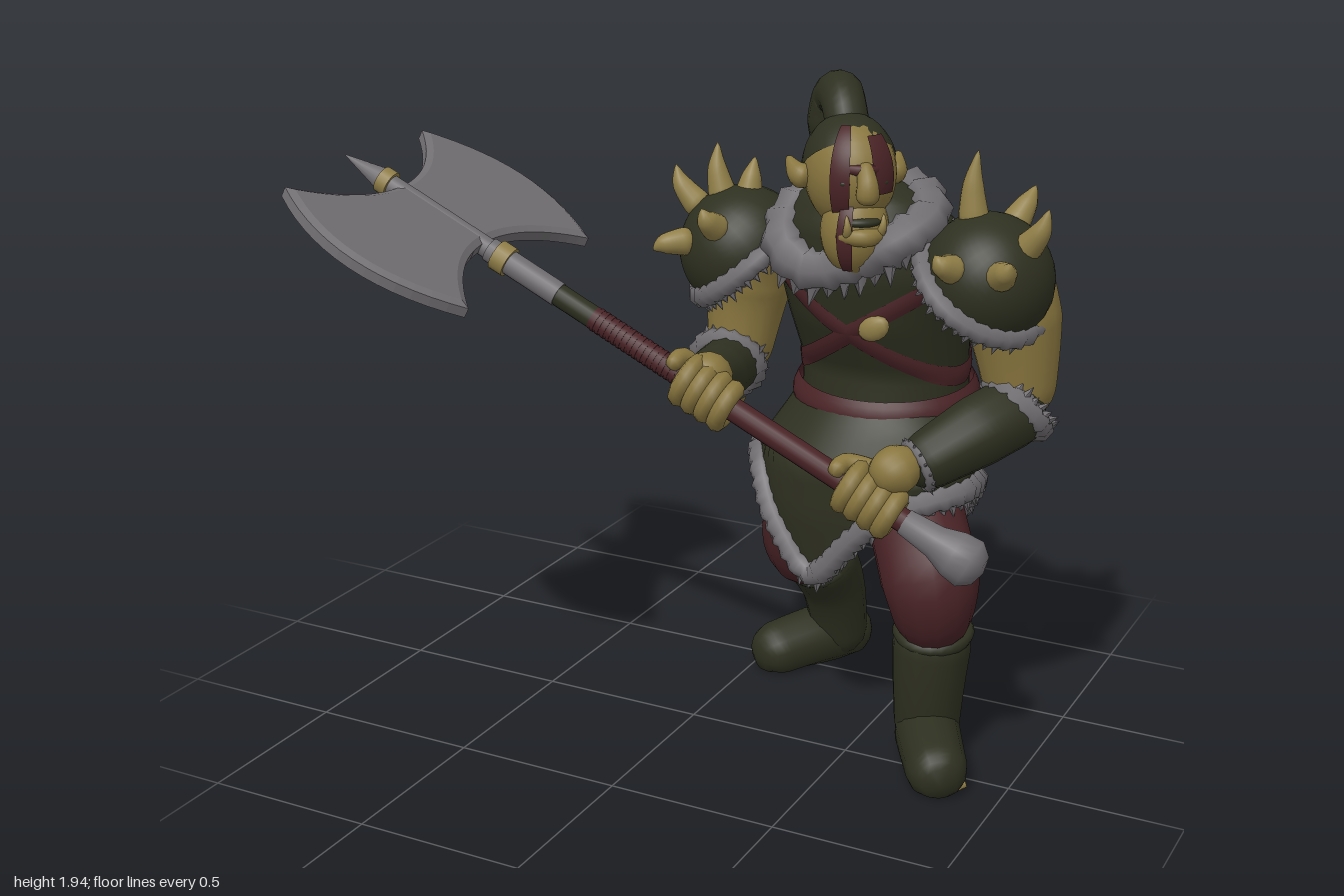
import * as THREE from 'three';
import { mergeGeometries, mergeVertices } from 'three/addons/utils/BufferGeometryUtils.js';

const V = (x, y, z) => new THREE.Vector3(x, y, z);
const UP = V(0, 1, 0);
const material = (name, color, side = THREE.FrontSide) => {
  const m = new THREE.MeshStandardMaterial({ color, side });
  m.name = name;
  return m;
};

export function createModel() {
  const model = new THREE.Group();
  const green = material('dark green leather', 0x2e3020, THREE.DoubleSide);
  const red = material('maroon cloth', 0x4a2326, THREE.DoubleSide);
  const skin = material('ochre skin', 0x89763f);
  const horn = material('horn', 0x917f48);
  const grey = material('grey steel and fur', 0x716e71);

  const add = (name, geometry, mat, parent = model) => {
    const mesh = new THREE.Mesh(geometry, mat);
    mesh.name = name;
    parent.add(mesh);
    return mesh;
  };

  // Round limb of varying radius along a curve, with rounded ends, flat on the ground
  const limb = (name, pts, radii, mat, parent = model, n = 28) => {
    const curve = new THREE.CatmullRomCurve3(pts.map(p => V(...p)));
    const len = curve.getLength(), seg = 14;
    const g = new THREE.TubeGeometry(curve, n, 1, seg);
    const pos = g.attributes.position, v = V(0, 0, 0);
    for (let i = 0; i <= n; i++) {
      const t = i / n, c = curve.getPointAt(t);
      const f = curve.getUtoTmapping(t) * (radii.length - 1);
      const k = Math.min(Math.floor(f), radii.length - 2);
      let r = THREE.MathUtils.lerp(radii[k], radii[k + 1], f - k);
      const d = Math.min(t, 1 - t) * len;
      if (d < r) r *= Math.sqrt(Math.max(0, 1 - (1 - d / r) ** 2));
      for (let j = 0; j <= seg; j++) {
        const q = i * (seg + 1) + j;
        v.fromBufferAttribute(pos, q).sub(c).multiplyScalar(r).add(c);
        pos.setXYZ(q, v.x, parent === model ? Math.max(0, v.y) : v.y, v.z);
      }
    }
    g.deleteAttribute('uv');
    g.deleteAttribute('normal');
    const merged = mergeVertices(g, 1e-5);
    merged.computeVertexNormals();
    return add(name, merged, mat, parent);
  };

  // Closed band from a rule: u runs around, v runs up
  const loft = (nu, nv, fn) => {
    const p = [], idx = [];
    for (let j = 0; j <= nv; j++) for (let i = 0; i < nu; i++) p.push(...fn(i / nu, j / nv).toArray());
    for (let j = 0; j < nv; j++) for (let i = 0; i < nu; i++) {
      const a = j * nu + i, b = j * nu + (i + 1) % nu;
      idx.push(a, b, a + nu, b, b + nu, a + nu);
    }
    const g = new THREE.BufferGeometry();
    g.setAttribute('position', new THREE.Float32BufferAttribute(p, 3));
    g.setIndex(idx);
    g.computeVertexNormals();
    return g;
  };

  // Lumpy fur roll with pointed tufts
  const fur = (name, pts, r, dirAt, n) => {
    const curve = new THREE.CatmullRomCurve3(pts, true);
    const tube = new THREE.TubeGeometry(curve, n * 2, r, 7, true);
    const pos = tube.attributes.position, nor = tube.attributes.normal;
    for (let i = 0; i < pos.count; i++) {
      const k = r * 0.15 * Math.sin(Math.floor(i / 8) % (n * 2) * 2.3);
      pos.setXYZ(i, pos.getX(i) + nor.getX(i) * k, pos.getY(i) + nor.getY(i) * k, pos.getZ(i) + nor.getZ(i) * k);
    }
    const parts = [tube];
    for (let i = 0; i < n; i++) {
      const p = curve.getPointAt(i / n), d = dirAt(p.clone()).normalize();
      const cone = new THREE.ConeGeometry(r * 0.6, r * (1.3 + 0.4 * Math.sin(i * 2.7)), 5);
      cone.applyQuaternion(new THREE.Quaternion().setFromUnitVectors(UP, d));
      p.addScaledVector(d, r * 0.95);
      parts.push(cone.translate(p.x, p.y, p.z));
    }
    return add(name, mergeGeometries(parts), grey);
  };
  const circle = (c, axis, r) => {
    const q = new THREE.Quaternion().setFromUnitVectors(UP, axis.clone().normalize());
    return Array.from({ length: 12 }, (_, i) =>
      V(Math.cos(i * Math.PI / 6) * r, 0, Math.sin(i * Math.PI / 6) * r).applyQuaternion(q).add(c));
  };

  // Oval body section at a height: rows are [y, centre x, centre z, half width, half depth]
  const section = (rows, y, a, grow = 0) => {
    let k = 0;
    while (k < rows.length - 2 && y > rows[k + 1][0]) k++;
    const t = THREE.MathUtils.clamp((y - rows[k][0]) / (rows[k + 1][0] - rows[k][0]), 0, 1);
    const [, cx, cz, rx, rz] = rows[k].map((s, i) => THREE.MathUtils.lerp(s, rows[k + 1][i], t));
    return V(cx + Math.sin(a) * (rx + grow), y, cz + Math.cos(a) * (rz + grow));
  };
  const torsoRows = [[0.95, 0.45, -0.36, 0.25, 0.22], [1.1, 0.45, -0.35, 0.245, 0.2], [1.25, 0.44, -0.32, 0.265, 0.24],
    [1.4, 0.44, -0.28, 0.29, 0.235], [1.53, 0.43, -0.24, 0.26, 0.2], [1.62, 0.43, -0.21, 0.18, 0.14], [1.66, 0.43, -0.2, 0.08, 0.07]];
  const skirtRows = [[0.42, 0.41, -0.25, 0.2, 0.18], [0.55, 0.41, -0.28, 0.25, 0.25], [0.7, 0.41, -0.3, 0.31, 0.29],
    [0.85, 0.43, -0.31, 0.33, 0.305], [0.95, 0.44, -0.345, 0.28, 0.255], [1.02, 0.45, -0.36, 0.25, 0.22]];
  const TAU = Math.PI * 2;

  // Torso, belt and crossed straps
  add('torso', loft(40, 28, (u, v) => section(torsoRows, 0.95 + v * 0.71, u * TAU)), green);
  add('belt', loft(40, 6, (u, v) => {
    const a = u * TAU, p = section(torsoRows, 1.01, a, 0.01 + 0.02 * Math.sin(v * Math.PI));
    p.y = 1.01 - 0.03 * Math.cos(a) + (v - 0.5) * 0.1;
    return p;
  }), red);
  for (const s of [1, -1]) add('chestStrap', loft(64, 4, (u, v) => {
    const a = u * TAU;
    return section(torsoRows, 1.265 - 0.03 * Math.cos(a) - s * 0.17 * Math.sin(a) + (v - 0.5) * 0.06, a, 0.003 + 0.006 * Math.sin(v * Math.PI));
  }), red);
  const pendant = add('pendant', new THREE.SphereGeometry(0.045, 10, 8), horn);
  pendant.scale.set(1.1, 0.8, 0.5);
  pendant.rotation.z = 0.5;
  pendant.position.set(0.52, 1.265, -0.078);

  // Skirt pushed out over the left thigh, hanging low at front and back, with a fur hem
  const hem = angle => {
    const a = angle + 0.2 * Math.max(0, Math.cos(angle)) + 0.3 * Math.max(0, -Math.cos(angle));
    const low = (1 + Math.cos(2 * (a + 0.3 * Math.sin(a)))) / 2;
    return 0.79 - 0.31 * low ** 1.4 + 0.03 * Math.cos(a);
  };
  const skirtPoint = (y, a) =>
    section(skirtRows, y, a, 0.085 * Math.exp(-(((a - 0.9) / 0.45) ** 2)) * THREE.MathUtils.clamp((1.02 - y) / 0.15, 0, 1));
  add('skirt', loft(56, 16, (u, v) => skirtPoint(THREE.MathUtils.lerp(hem(u * TAU), 1.02, v), u * TAU)), green);
  fur('skirtFurHem', Array.from({ length: 36 }, (_, i) => skirtPoint(hem(i / 36 * TAU) + 0.01, i / 36 * TAU)),
    0.037, p => V((p.x - 0.42) * 0.6, -0.8, (p.z + 0.28) * 0.6), 76);

  // Legs and boots
  limb('leftThigh', [[0.54, 0.88, -0.32], [0.63, 0.72, -0.16], [0.73, 0.565, -0.035], [0.73, 0.36, -0.08]], [0.1, 0.14, 0.14, 0.09], red);
  limb('rightThigh', [[0.33, 0.93, -0.38], [0.24, 0.66, -0.35], [0.195, 0.49, -0.36], [0.21, 0.34, -0.42]], [0.15, 0.155, 0.128, 0.09], red);
  limb('leftBoot', [[0.73, 0.46, -0.08], [0.72, 0.25, -0.08], [0.71, 0.02, -0.1]], [0.12, 0.105, 0.09], green);
  limb('rightBoot', [[0.215, 0.47, -0.38], [0.225, 0.28, -0.52], [0.22, 0.02, -0.61]], [0.12, 0.1, 0.085], green);
  limb('leftFoot', [[0.67, 0.06, -0.2], [0.73, 0.085, -0.06], [0.86, 0.05, 0.17]], [0.09, 0.095, 0.085], green);
  limb('rightFoot', [[0.25, 0.06, -0.72], [0.19, 0.085, -0.58], [0.03, 0.05, -0.36]], [0.09, 0.095, 0.085], green);
  const toe = add('toePatch', new THREE.SphereGeometry(1, 12, 8), horn);
  toe.position.set(0.82, 0.018, 0.075);
  toe.scale.set(0.083, 0.018, 0.045);
  const cuff = (c, axis, r) => {
    const m = add('bootCuff', new THREE.TorusGeometry(r, 0.022, 8, 24), green);
    m.position.copy(c);
    m.quaternion.setFromUnitVectors(V(0, 0, 1), axis.normalize());
  };
  cuff(V(0.728, 0.4, -0.08), V(0.05, 1, 0.2), 0.095);
  cuff(V(0.215, 0.4, -0.43), V(0, 0.8, 0.6), 0.09);

  // Arms with bracers and fur cuffs
  limb('leftUpperArm', [[0.8, 1.53, -0.24], [0.86, 1.29, -0.26], [0.9, 1.0, -0.26]], [0.13, 0.135, 0.085], skin);
  limb('rightUpperArm', [[0.08, 1.53, -0.28], [0.02, 1.29, -0.32], [0, 1.0, -0.28]], [0.13, 0.13, 0.085], skin);
  limb('leftBracer', [[0.93, 1.06, -0.29], [0.82, 1.0, -0.11], [0.67, 0.9, 0.04]], [0.1, 0.1, 0.075], green);
  limb('rightBracer', [[0, 1.06, -0.31], [0.03, 1.06, -0.1], [0.09, 1.09, 0.1]], [0.09, 0.088, 0.06], green);
  const elbows = [['leftElbowFur', V(0.89, 1.045, -0.23), V(0.45, 0.65, -0.6)], ['rightElbowFur', V(-0.005, 1.055, -0.23), V(-0.1, 0.4, -0.9)]];
  for (const [name, c, axis] of elbows)
    fur(name, circle(c, axis, 0.085), 0.036, p => p.sub(c).addScaledVector(axis, 0.12), 24);
  const wristCentre = V(0.7, 0.92, 0.01);
  fur('leftWristFur', circle(wristCentre, V(-0.7, -0.4, 0.7), 0.065), 0.015, p => p.sub(wristCentre), 16);

  // Shoulder pads with fur rims and curved spikes
  const shoulders = [
    ['left', V(0.805, 1.415, -0.18), V(0.58, 0.76, 0.28), [[0.76, 1.57, -0.17, 0.77, 1.77, -0.17], [0.85, 1.56, -0.25, 0.89, 1.66, -0.31],
      [0.92, 1.51, -0.14, 0.99, 1.64, -0.12], [0.77, 1.47, -0.02, 0.73, 1.52, 0.03], [0.89, 1.46, -0.04, 0.94, 1.52, 0.03]]],
    ['right', V(0.06, 1.415, -0.2), V(-0.58, 0.76, 0.28), [[0.0, 1.56, -0.18, -0.02, 1.72, -0.19], [0.07, 1.56, -0.2, 0.08, 1.68, -0.23],
      [-0.07, 1.53, -0.17, -0.14, 1.65, -0.16], [-0.05, 1.46, -0.06, -0.13, 1.43, 0.0], [0.05, 1.5, -0.05, 0.03, 1.57, 0.01]]]];
  for (const [side, c, axis, spikes] of shoulders) {
    const pad = add(side + 'ShoulderPad', new THREE.SphereGeometry(0.186, 28, 16, 0, TAU, 0, Math.PI * 0.56), green);
    pad.position.copy(c);
    pad.quaternion.setFromUnitVectors(UP, axis.normalize());
    const rim = c.clone().addScaledVector(axis, -0.02);
    fur(side + 'ShoulderFur', circle(rim, axis, 0.182), 0.033, p => p.sub(rim).normalize().multiplyScalar(0.4).addScaledVector(axis, -1.2), 40);
    for (const [x, y, z, X, Y, Z] of spikes) {
      const out = V(x, y, z).sub(c).multiplyScalar(0.13);
      limb(side + 'ShoulderSpike', [[x - out.x, y - out.y, z - out.z], [(x + X) / 2 + out.x, (y + Y) / 2 + out.y * 0.4, (z + Z) / 2 + out.z], [X, Y, Z]],
        [0.048, 0.028, 0.003], horn, model, 14);
    }
  }

  // Neck and fur collar
  limb('neck', [[0.43, 1.45, -0.22], [0.43, 1.55, -0.17], [0.44, 1.68, -0.1]], [0.11, 0.11, 0.1], skin);
  fur('furCollar', [V(0.44, 1.44, -0.07), V(0.57, 1.51, -0.07), V(0.635, 1.57, -0.16), V(0.57, 1.61, -0.26), V(0.44, 1.62, -0.3),
    V(0.3, 1.61, -0.26), V(0.23, 1.55, -0.17), V(0.25, 1.47, -0.07), V(0.33, 1.42, -0.06)], 0.062, p => V(p.x - 0.43, -0.6, p.z + 0.2), 26);

  // Head, turned toward its left
  const head = new THREE.Group();
  head.name = 'head';
  head.position.set(0.43, 1.64, -0.1);
  head.rotation.y = 0.7;
  model.add(head);
  const ball = (name, p, s, mat, ...arc) => {
    const m = add(name, new THREE.SphereGeometry(1, 24, 18, ...arc), mat, head);
    m.position.set(...p);
    m.scale.set(...s);
    return m;
  };
  const skull = [[0, 0.05, 0], [0.125, 0.155, 0.145]], jaw = [[0, -0.1, 0.055], [0.095, 0.12, 0.095]];
  ball('skull', ...skull, skin);
  ball('jaw', ...jaw, skin);
  ball('hairCap', [0, 0.053, -0.006], [0.131, 0.162, 0.151], green, 0, TAU, 0, Math.PI * 0.45).rotation.x = -0.6;
  const grown = s => s.map(k => k + 0.005);
  ball('eyeStripe', skull[0], grown(skull[1]), red, 0.8, 0.42, 0.5, 1.7);
  ball('jawStripe', jaw[0], grown(jaw[1]), red, 0.75, 0.45, 0.6, 1.9);
  ball('eyePatch', skull[0], grown(skull[1]), red, 1.72, 0.6, 0.75, 1.05);
  limb('nose', [[0, 0.1, 0.12], [0, 0.04, 0.16], [0, -0.01, 0.155]], [0.02, 0.03, 0.035], skin, head, 14);
  limb('brow', [[-0.07, 0.085, 0.1], [0, 0.08, 0.138], [0.07, 0.085, 0.1]], [0.012, 0.018, 0.012], red, head, 16);
  limb('lowerLip', [[-0.07, -0.1, 0.1], [0, -0.1, 0.15], [0.07, -0.1, 0.1]], [0.02, 0.025, 0.02], skin, head, 16);
  ball('mouth', [0, -0.062, 0.115], [0.055, 0.018, 0.038], green);
  for (const s of [1, -1]) {
    limb('ear', [[s * 0.11, 0.03, 0.0], [s * 0.14, 0.05, -0.03], [s * 0.16, 0.09, -0.07]], [0.04, 0.033, 0.006], skin, head, 12);
    ball('eye', [s * 0.05, 0.045, 0.126], [0.018, 0.01, 0.01], green);
    limb('tusk', [[s * 0.045, -0.1, 0.13], [s * 0.05, -0.07, 0.148], [s * 0.052, -0.035, 0.143]], [0.014, 0.011, 0.003], horn, head, 8);
  }
  limb('topknot', [[0.42, 1.76, -0.12], [0.375, 1.865, -0.17], [0.325, 1.87, -0.245], [0.3, 1.79, -0.27], [0.31, 1.66, -0.255]],
    [0.06, 0.062, 0.07, 0.072, 0.045], green);

  // Great axe: local y runs from pommel to tip, local z across the blades
  const axe = new THREE.Group();
  axe.name = 'axe';
  const d = V(-1.85, 0.975, 0.19).normalize();
  const w = V(0, 0, 1).addScaledVector(d, -d.z).normalize();
  axe.quaternion.setFromRotationMatrix(new THREE.Matrix4().makeBasis(d.clone().cross(w), d, w));
  axe.position.set(0.87, 0.69, 0.07);
  model.add(axe);
  const rod = (name, a, b, r, mat, r2 = r) =>
    add(name, new THREE.CylinderGeometry(r2, r, b - a, 16), mat, axe).position.y = (a + b) / 2;
  const profile = [[0, -0.055], [0.045, -0.045], [0.073, -0.01], [0.068, 0.04], [0.047, 0.1], [0.037, 0.2], [0, 0.2]];
  add('pommel', new THREE.LatheGeometry(profile.map(p => new THREE.Vector2(...p)), 20), grey, axe);
  rod('gripWrap', 0.19, 1.24, 0.034, red);
  for (let i = 0; i < 16; i++) rod('gripBand', 0.95 + i * 0.018, 0.96 + i * 0.018, 0.036, red);
  rod('darkShaft', 1.24, 1.4, 0.033, green);
  rod('socket', 1.36, 1.6, 0.036, grey);
  rod('bladeCore', 1.6, 1.96, 0.03, grey);
  rod('lowerCollar', 1.53, 1.575, 0.045, horn);
  rod('upperCollar', 1.95, 1.985, 0.04, horn);
  rod('tipSpike', 1.985, 2.115, 0.034, grey, 0.002);
  const shape = new THREE.Shape();
  shape.moveTo(0, 0.15).quadraticCurveTo(0.2, 0.15, 0.37, 0.31).quadraticCurveTo(0.61, 0, 0.37, -0.31)
    .quadraticCurveTo(0.2, -0.15, 0, -0.15).quadraticCurveTo(-0.2, -0.15, -0.37, -0.31)
    .quadraticCurveTo(-0.61, 0, -0.37, 0.31).quadraticCurveTo(-0.2, 0.15, 0, 0.15);
  const blade = new THREE.ExtrudeGeometry(shape, { depth: 0.03, bevelSize: 0.02, bevelOffset: -0.02, bevelThickness: 0.01, bevelSegments: 1, curveSegments: 14 });
  add('doubleBlade', blade.translate(0, 0, -0.015).rotateY(-Math.PI / 2), grey, axe).position.y = 1.77;

  // Hands: fingers wrapped round the shaft, back of the hand reaching to the wrist
  for (const [side, s, wrist] of [['left', 0.31, V(0.7, 0.92, 0.01)], ['right', 0.85, V(0.08, 1.08, 0.07)]]) {
    for (let i = 0; i < 4; i++) {
      const finger = add(side + 'Finger', new THREE.TorusGeometry(0.056, 0.028, 8, 20, 5.4).rotateX(Math.PI / 2), skin, axe);
      finger.position.y = s + (i - 1.5) * 0.043;
      finger.rotation.y = i * 0.12;
    }
    const grip = axe.position.clone().addScaledVector(d, s);
    const back = grip.clone().add(V(0.02, 0.055, 0.03));
    limb(side + 'Hand', [wrist.toArray(), wrist.clone().lerp(back, 0.5).add(V(0, 0.015, 0)).toArray(), back.toArray()], [0.06, 0.07, 0.06], skin);
    limb(side + 'Thumb', [wrist.clone().lerp(grip, 0.4), grip.clone().addScaledVector(d, 0.09).add(V(0, 0.05, -0.01)),
      grip.clone().addScaledVector(d, 0.1).add(V(0, 0.03, 0.05))].map(p => p.toArray()), [0.03, 0.027, 0.022], skin, model, 14);
  }
  return model;
}
